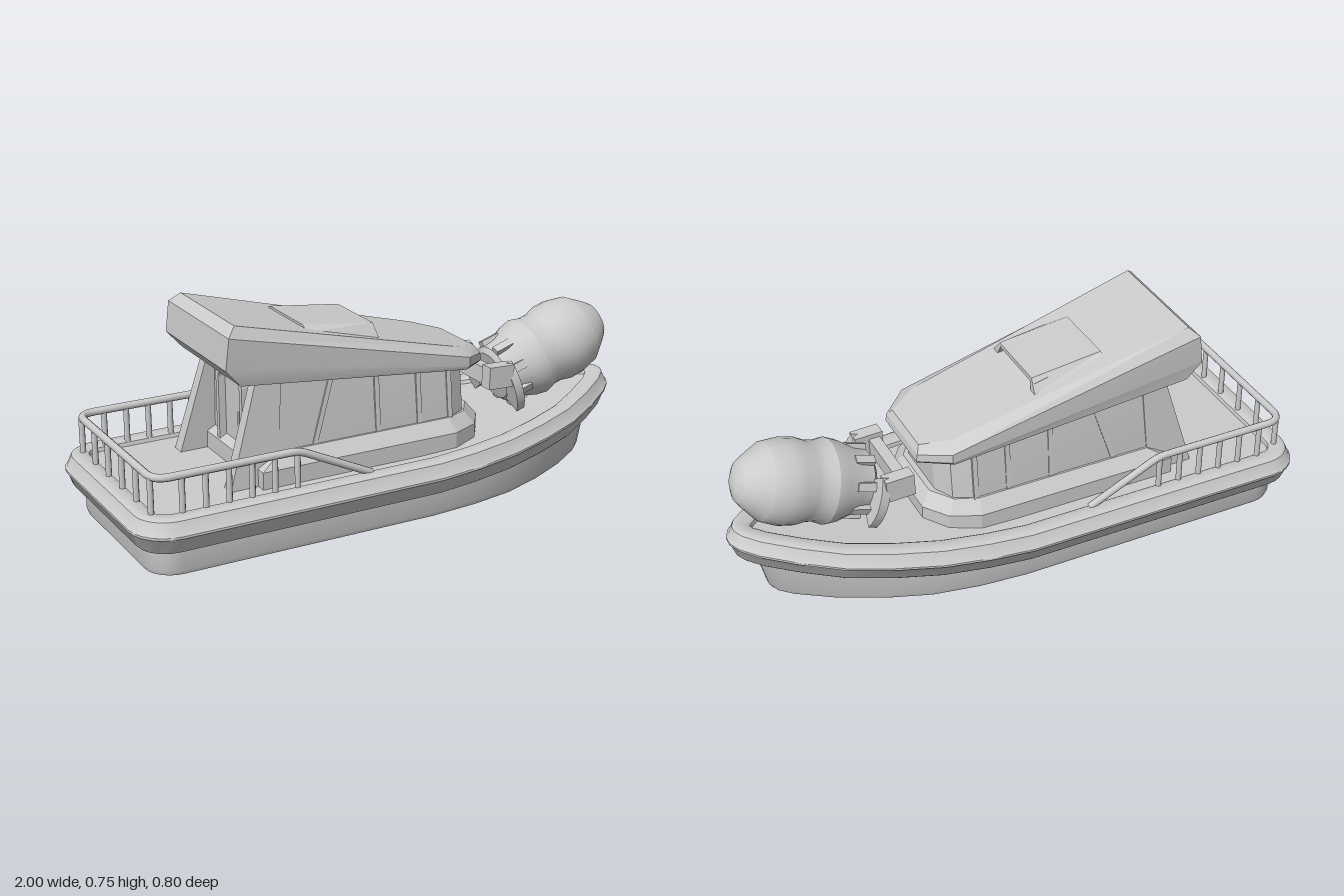
import * as THREE from 'three';
import { toCreasedNormals } from 'three/addons/utils/BufferGeometryUtils.js';

const material = new THREE.MeshStandardMaterial({ color: 0xcccccc });

function add(parent, name, geometry, x = 0, y = 0, z = 0) {
  const mesh = new THREE.Mesh(geometry, material);
  mesh.name = name;
  mesh.position.set(x, y, z);
  parent.add(mesh);
  return mesh;
}

// Skin over stacked rings of [x, y, z], closed by a strip at both ends
function loft(rings, crease = 0.6) {
  const pos = [], n = rings[0].length, top = rings.length - 1;
  const quad = (a, b, c, d) => pos.push(...a, ...b, ...c, ...a, ...c, ...d);
  for (let k = 0; k < top; k++) for (let i = 0; i < n; i++) {
    const j = (i + 1) % n;
    quad(rings[k][i], rings[k][j], rings[k + 1][j], rings[k + 1][i]);
  }
  for (let i = 0; i < n / 2 - 1; i++) {
    const [lo, hi] = [rings[0], rings[top]];
    quad(hi[i], hi[i + 1], hi[n - 2 - i], hi[n - 1 - i]);
    quad(lo[n - 1 - i], lo[n - 2 - i], lo[i + 1], lo[i]);
  }
  const g = new THREE.BufferGeometry();
  g.setAttribute('position', new THREE.Float32BufferAttribute(pos, 3));
  return toCreasedNormals(g, crease);
}

// Half plan outline [x, z] from stern to bow, mirrored to a full loop
const mirror = half => [...half, ...half.slice().reverse().map(([x, z]) => [x, -z])];

// Mirrored ring whose height runs from y0 (stern) to y1 (bow)
function ring(half, y0, y1 = y0) {
  const xa = half[0][0], xb = half[half.length - 1][0];
  return mirror(half).map(([x, z]) => [x, y0 + (y1 - y0) * (x - xa) / (xb - xa), z]);
}

// Four-cornered ring between two z values
function quadRing(x0, x1, y0, y1, za, zb) {
  const a = Math.max(za, zb), b = Math.min(za, zb);
  return [[x0, y0, a], [x1, y1, a], [x1, y1, b], [x0, y0, b]];
}

// Move an outline inwards along its normals
function inset(loop, d) {
  const n = loop.length;
  const dir = (a, b) => {
    const l = Math.hypot(b[0] - a[0], b[1] - a[1]);
    return [(b[0] - a[0]) / l, (b[1] - a[1]) / l];
  };
  return loop.map((p, i) => {
    const u = dir(loop[(i + n - 1) % n], p), v = dir(p, loop[(i + 1) % n]);
    const tx = u[0] + v[0], tz = u[1] + v[1], l = Math.hypot(tx, tz);
    return [p[0] + d * tz / l, p[1] - d * tx / l];
  });
}

function sternCorner(x, z, r) {
  return Array.from({ length: 7 }, (_, i) => {
    const a = i / 6 * Math.PI / 2;
    return [x + r - r * Math.cos(a), z - r + r * Math.sin(a)];
  });
}

const sheer = x => 0.08 * Math.max(0, (x + 0.1) / 1.1) ** 2;

function buildHull(boat) {
  // Lower hull with a raked bow and a rounded bottom edge
  const low = mirror([...sternCorner(-0.945, 0.34, 0.1), [0.07, 0.34], [0.24, 0.325], [0.4, 0.295],
    [0.55, 0.24], [0.7, 0.165], [0.82, 0.085], [0.86, 0.045], [0.875, 0.015]]);
  const rake = (x, y) => x + 0.3 * y * Math.max(0, x) ** 2;
  add(boat, 'lowerHull', loft([[0.02, 0], [0.006, 0.006], [0, 0.022], [0, 0.12]].map(([d, y]) =>
    inset(low, d).map(([x, z]) => {
      const h = y > 0.1 ? y + sheer(x) : y;
      return [rake(x, h), h, z];
    }))));
  // Fender around the hull, closed by the deck
  const rim = mirror([...sternCorner(-1, 0.4, 0.13), [0.07, 0.4], [0.22, 0.385], [0.38, 0.36], [0.54, 0.315],
    [0.69, 0.26], [0.82, 0.185], [0.93, 0.11], [0.98, 0.06], [1, 0.02]]);
  const section = [[0.09, 0.1], [0.03, 0.1], [0.022, 0.108], [0.005, 0.153], [0, 0.157], [0, 0.165],
    [0.005, 0.169], [0.022, 0.208], [0.032, 0.214], [0.072, 0.214], [0.082, 0.208], [0.086, 0.195]];
  add(boat, 'fenderAndDeck', loft(section.map(([d, y]) =>
    inset(rim, d).map(([x, z]) => [x, y + sheer(x), z]))));
}

function buildRailing(boat) {
  const V = (x, y, z) => new THREE.Vector3(x, y, z);
  const h = 0.337, w = 0.327, xs = -0.932, r = 0.06;
  const path = new THREE.CurvePath();
  const line = (a, b) => path.add(new THREE.LineCurve3(a, b));
  const bend = (a, b, c) => path.add(new THREE.QuadraticBezierCurve3(a, b, c));
  line(V(-0.17, 0.21, w), V(-0.41, 0.325, w));
  bend(V(-0.41, 0.325, w), V(-0.435, h, w), V(-0.47, h, w));
  line(V(-0.47, h, w), V(xs + r, h, w));
  bend(V(xs + r, h, w), V(xs, h, w), V(xs, h, w - r));
  line(V(xs, h, w - r), V(xs, h, r - w));
  bend(V(xs, h, r - w), V(xs, h, -w), V(xs + r, h, -w));
  line(V(xs + r, h, -w), V(-0.47, h, -w));
  bend(V(-0.47, h, -w), V(-0.435, h, -w), V(-0.41, 0.325, -w));
  line(V(-0.41, 0.325, -w), V(-0.17, 0.21, -w));
  add(boat, 'handrail', new THREE.TubeGeometry(path, 200, 0.013, 10));
  const post = new THREE.CylinderGeometry(0.01, 0.01, 0.14, 10);
  for (const x of [-0.84, -0.76, -0.68, -0.6, -0.52, -0.44])
    for (const s of [1, -1]) add(boat, 'railPost', post, x, 0.265, s * w);
  for (let i = 0; i < 6; i++) add(boat, 'sternPost', post, xs, 0.265, -0.295 + i * 0.118);
}

function buildCabin(boat) {
  // Sloped skirt around the foot of the cabin
  const skirt = [[[-0.53, 0.26], [0.2, 0.26], [0.3, 0.215], [0.36, 0.13]], [[-0.45, 0.222], [0.19, 0.222], [0.27, 0.19], [0.325, 0.11]]];
  add(boat, 'cabinSkirt', loft([ring(skirt[0], 0.19), ring(skirt[0], 0.255), ring(skirt[1], 0.3)], 0.2));
  // Walls lean inwards up to the sloping roof
  const foot = [[-0.5, 0.215], [0.2, 0.215], [0.27, 0.18], [0.305, 0.11]];
  const head = foot.map(([x, z]) => [x, z - 0.02]);
  add(boat, 'cabinWalls', loft([ring(foot, 0.19), ring(foot, 0.3), ring(head, 0.57, 0.465)], 0.2));
  for (const s of [1, -1]) {
    // Leaning rear wings beside the door
    add(boat, 'rearWing', loft([quadRing(-0.63, -0.46, 0.19, 0.19, s * 0.225, s * 0.175),
      quadRing(-0.515, -0.43, 0.57, 0.57, s * 0.2, s * 0.16)], 0.2));
    // Window pillars
    for (const [lo, hi] of [[-0.33, -0.25], [-0.09, -0.09], [0.07, 0.07], [0.19, 0.19]])
      add(boat, 'windowPillar', loft([quadRing(lo, lo + 0.018, 0.295, 0.295, s * 0.219, s * 0.19),
        quadRing(hi, hi + 0.018, 0.51 - 0.13 * hi, 0.51 - 0.13 * hi, s * 0.2, s * 0.18)], 0.2));
  }
  // Door frame and handle on the rear wall
  const rounded = (Type, w, h, r) => {
    const p = new Type();
    p.absarc(w - r, h - r, r, 0, Math.PI / 2);
    p.absarc(r - w, h - r, r, Math.PI / 2, Math.PI);
    p.absarc(r - w, r - h, r, Math.PI, Math.PI * 1.5);
    p.absarc(w - r, r - h, r, Math.PI * 1.5, Math.PI * 2);
    return p.closePath();
  };
  const frame = rounded(THREE.Shape, 0.1, 0.155, 0.04);
  frame.holes.push(rounded(THREE.Path, 0.08, 0.135, 0.03));
  const door = add(boat, 'doorFrame', new THREE.ExtrudeGeometry(frame, { depth: 0.025, bevelEnabled: false }), -0.5, 0.37, 0);
  door.rotation.y = -Math.PI / 2;
  add(boat, 'doorHandle', new THREE.BoxGeometry(0.02, 0.05, 0.012), -0.508, 0.37, 0.055);
}

function buildRoof(boat) {
  add(boat, 'roof', loft([
    ring([[-0.587, 0.23], [0.27, 0.205], [0.372, 0.125]], 0.55, 0.442),
    ring([[-0.64, 0.237], [0.28, 0.21], [0.376, 0.13]], 0.61, 0.45),
    ring([[-0.627, 0.237], [0.28, 0.21], [0.372, 0.13]], 0.715, 0.475),
    ring([[-0.594, 0.208], [0.26, 0.165], [0.358, 0.11]], 0.745, 0.5),
  ], 0.3));
  // Air scoop, open towards the bow
  add(boat, 'scoopTop', loft([ring([[-0.31, 0.115], [-0.05, 0.135]], 0.668, 0.632),
    ring([[-0.31, 0.115], [-0.05, 0.12]], 0.68, 0.648)], 0.2));
  for (const s of [1, -1])
    add(boat, 'scoopSide', loft([quadRing(-0.31, -0.045, 0.66, 0.604, s * 0.155, s * 0.125),
      quadRing(-0.31, -0.05, 0.68, 0.648, s * 0.12, s * 0.105)], 0.2));
}

function buildLamp(boat) {
  // Large barrel at the bow, tilted upwards along its own axis
  const lamp = new THREE.Group();
  lamp.name = 'bowLamp';
  lamp.position.set(0.7, 0.39, 0);
  lamp.rotation.z = -1.257;
  boat.add(lamp);
  const profile = [[0, -0.2], [0.09, -0.2], [0.108, -0.185], [0.113, -0.14], [0.138, -0.08], [0.146, -0.04], [0.135, -0.005],
    [0.135, 0.03], [0.146, 0.07], [0.146, 0.12], [0.132, 0.18], [0.09, 0.235], [0.07, 0.258], [0.035, 0.274], [0, 0.278]];
  const body = new THREE.LatheGeometry(profile.map(p => new THREE.Vector2(...p)), 24);
  add(lamp, 'lampBody', toCreasedNormals(body, 0.45));
  // Side clamps, lugs and rear bridge
  for (const s of [1, -1]) {
    const a = Math.PI / 2 * s, arc = new THREE.Shape();
    arc.absarc(0, 0, 0.168, a - 0.62, a + 0.62, false);
    arc.absarc(0, 0, 0.105, a + 0.62, a - 0.62, true);
    const clamp = add(lamp, 'sideClamp', new THREE.ExtrudeGeometry(arc, { depth: 0.032, bevelEnabled: false, curveSegments: 10 }), 0, -0.18, 0);
    clamp.rotation.x = Math.PI / 2;
    const lug = add(lamp, 'lug', new THREE.BoxGeometry(0.08, 0.1, 0.05), -0.07, -0.245, s * 0.135);
    lug.rotation.z = -0.35;
  }
  const bridge = add(lamp, 'bridge', new THREE.BoxGeometry(0.06, 0.04, 0.25), -0.07, -0.265, 0);
  bridge.rotation.z = -0.35;
  // Cooling ribs around the neck
  for (let i = 0; i < 8; i++) {
    const a = (i + 0.5) / 8 * Math.PI * 2;
    const rib = add(lamp, 'neckRib', new THREE.BoxGeometry(0.03, 0.07, 0.03), 0.112 * Math.cos(a), -0.15, -0.112 * Math.sin(a));
    rib.rotation.y = a;
  }
}

export function createModel() {
  const boat = new THREE.Group();
  boat.name = 'patrolBoat';
  for (const build of [buildHull, buildRailing, buildCabin, buildRoof, buildLamp]) build(boat);
  return boat;
}
